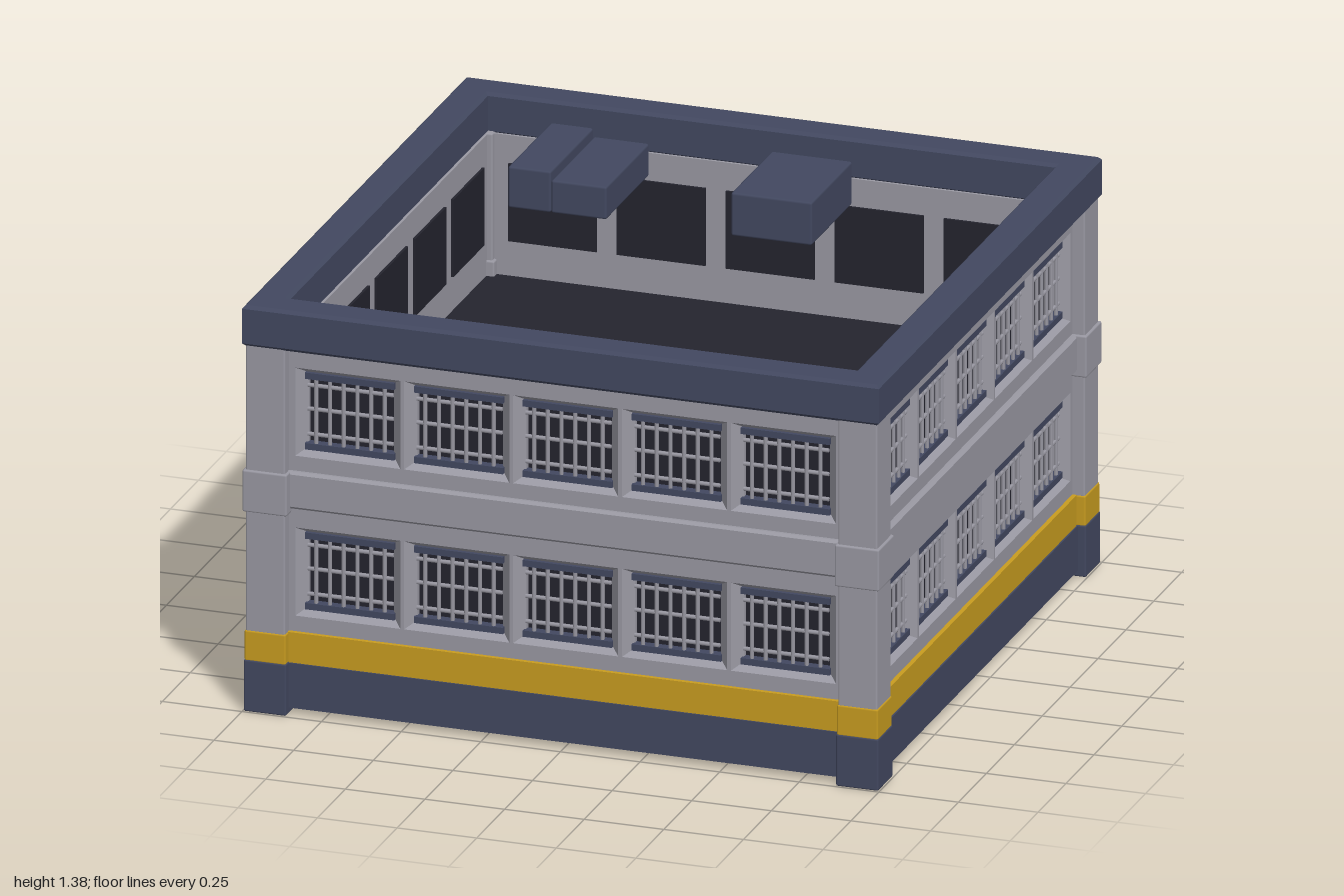
import * as THREE from 'three';
import { RoundedBoxGeometry } from 'three/addons/geometries/RoundedBoxGeometry.js';

const mat = (name, color, side = THREE.FrontSide) => {
  const m = new THREE.MeshStandardMaterial({ color, side });
  m.name = name;
  return m;
};

export function createModel() {
  const model = new THREE.Group();
  model.name = 'barredBuilding';
  const wall = mat('wallGrey', 0x9a99a3, THREE.DoubleSide);
  const navy = mat('slateNavy', 0x424860);
  const yellow = mat('stripeYellow', 0xc89c20);
  const dark = mat('darkCharcoal', 0x24242e);

  const add = (parent, name, geometry, material, x = 0, y = 0, z = 0) => {
    const m = new THREE.Mesh(geometry, material);
    m.name = name;
    m.position.set(x, y, z);
    parent.add(m);
    return m;
  };

  const rectPoints = (hw, hh, cx = 0, cy = 0) => [[-1, -1], [1, -1], [1, 1], [-1, 1]]
    .map(([a, b]) => new THREE.Vector2(cx + a * hw, cy + b * hh));

  // Square ring running around the whole building
  const ring = (name, material, outer, inner, y0, y1, bevel = 0) => {
    const shape = new THREE.Shape(rectPoints(outer - bevel, outer - bevel));
    shape.holes.push(new THREE.Path(rectPoints(inner + bevel, inner + bevel)));
    const geo = new THREE.ExtrudeGeometry(shape, {
      depth: y1 - y0 - 2 * bevel, bevelEnabled: bevel > 0,
      bevelSize: bevel, bevelThickness: bevel, bevelSegments: 1,
    });
    geo.rotateX(-Math.PI / 2);
    add(model, name, geo, material, 0, y0 + bevel, 0);
  };

  ring('basePlinth', navy, 0.972, 0.887, 0.02, 0.162);
  ring('yellowStripe', yellow, 0.967, 0.887, 0.162, 0.258);
  ring('floorBelt', wall, 0.97, 0.887, 0.65, 0.768, 0.008);
  ring('parapet', navy, 1, 0.89, 1.16, 1.29, 0.01);

  // Window layout shared by all four walls
  const columns = [-2, -1, 0, 1, 2].map((i) => i * 0.342);
  const rows = [0.447, 0.955];
  const HW = 0.134, HH = 0.118;
  const flareW = 0.165, flareH = 0.14;
  const zOuter = 0.953, zMid = 0.92, zInner = 0.885;

  const wallSheet = (hw, hh, z0, z1) => {
    const shape = new THREE.Shape(rectPoints(0.94, 0.456, 0, 0.71));
    for (const x of columns) for (const y of rows) {
      shape.holes.push(new THREE.Path(rectPoints(hw, hh, x, y)));
    }
    const geo = new THREE.ExtrudeGeometry(shape, { depth: z1 - z0, bevelEnabled: false });
    return geo.translate(0, 0, z0);
  };
  const outerSheet = wallSheet(flareW, flareH, zMid, zOuter);
  const innerSheet = wallSheet(HW, HH, zInner, zMid);

  // Splayed reveal: four sloping faces from the wall face down to the opening
  const reveal = new THREE.BufferGeometry();
  const big = rectPoints(flareW, flareH), small = rectPoints(HW, HH);
  const corners = [];
  for (let i = 0; i < 4; i++) {
    const j = (i + 1) % 4;
    const a = [big[i].x, big[i].y, zOuter], b = [big[j].x, big[j].y, zOuter];
    const c = [small[j].x, small[j].y, zMid], d = [small[i].x, small[i].y, zMid];
    corners.push(...a, ...b, ...c, ...a, ...c, ...d);
  }
  reveal.setAttribute('position', new THREE.Float32BufferAttribute(corners, 3));
  reveal.computeVertexNormals();

  const pane = new THREE.BoxGeometry(HW * 2 + 0.01, HH * 2 + 0.01, 0.028);
  const rail = new THREE.BoxGeometry(HW * 2 + 0.012, 0.02, 0.03);
  const upright = new THREE.CylinderGeometry(0.0065, 0.0065, HH * 2, 6);
  const crossbar = new THREE.CylinderGeometry(0.0065, 0.0065, HW * 2, 6).rotateZ(Math.PI / 2);

  const addWindow = (parent, x, y) => {
    const w = new THREE.Group();
    w.name = 'barredWindow';
    w.position.set(x, y, 0);
    parent.add(w);
    add(w, 'windowReveal', reveal, wall);
    add(w, 'windowPane', pane, dark, 0, 0, 0.891);
    for (const s of [-1, 1]) add(w, 'windowRail', rail, navy, 0, s * (HH - 0.006), 0.923);
    for (let i = 0; i < 6; i++) add(w, 'uprightBar', upright, wall, (i - 2.5) * 0.043, 0, 0.928);
    for (const yy of [-0.075, 0.005, 0.08]) add(w, 'crossBar', crossbar, wall, 0, yy, 0.926);
  };

  // Four walls, each with its corner post
  for (let k = 0; k < 4; k++) {
    const side = new THREE.Group();
    side.name = ['frontWall', 'leftWall', 'backWall', 'rightWall'][k];
    side.rotation.y = k * Math.PI / 2;
    model.add(side);
    add(side, 'outerWallFace', outerSheet, wall);
    add(side, 'innerWallFace', innerSheet, wall);
    for (const x of columns) for (const y of rows) addWindow(side, x, y);

    const post = new THREE.Group();
    post.name = 'cornerPost';
    post.position.set(0.93, 0, 0.93);
    side.add(post);
    const block = (name, material, width, y0, y1) => add(post, name,
      new RoundedBoxGeometry(width, y1 - y0, width, 1, 0.006), material, 0, (y0 + y1) / 2, 0);
    block('postFoot', navy, 0.134, 0, 0.165);
    block('postStripe', yellow, 0.13, 0.16, 0.258);
    block('postShaft', wall, 0.124, 0.252, 1.17);
    block('postCollar', wall, 0.14, 0.635, 0.768);
  }

  // Slab between the two storeys
  add(model, 'floorSlab', new THREE.BoxGeometry(1.78, 0.08, 1.78), dark, 0, 0.68, 0);

  // Rooftop units: x range, z range, top
  for (const [x0, x1, z0, z1, top] of [
    [-0.565, -0.43, -0.525, -0.14, 1.372],
    [-0.43, -0.255, -0.525, -0.14, 1.345],
    [0.135, 0.39, -0.505, -0.14, 1.378],
  ]) {
    const h = top - 1.24;
    add(model, 'rooftopUnit', new RoundedBoxGeometry(x1 - x0, h, z1 - z0, 1, 0.008), navy,
      (x0 + x1) / 2, 1.24 + h / 2, (z0 + z1) / 2);
  }
  return model;
}
